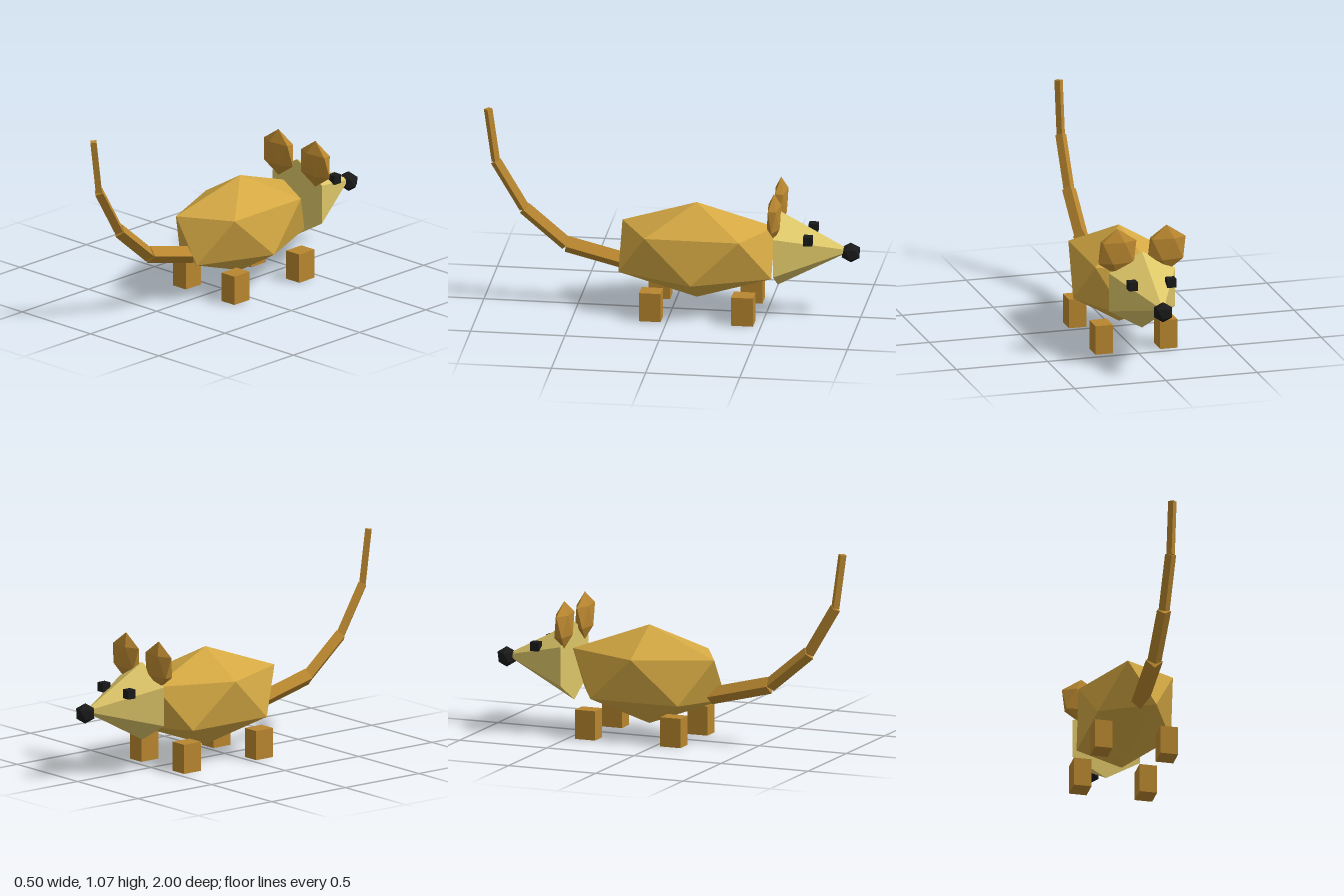
import * as THREE from 'three';
import { ConvexGeometry } from 'three/addons/geometries/ConvexGeometry.js';

// Twenty-sided ball standing on one corner, stretched to the given radii
function facetedBall(rx, ry, rz) {
  const points = [new THREE.Vector3(0, ry, 0), new THREE.Vector3(0, -ry, 0)];
  const h = 1 / Math.sqrt(5), r = 2 * h;
  for (let i = 0; i < 5; i++) {
    const a = (i * 2 * Math.PI) / 5;
    const x = Math.cos(a) * r * rx, z = Math.sin(a) * r * rz;
    points.push(new THREE.Vector3(-x, h * ry, z), new THREE.Vector3(x, -h * ry, z));
  }
  return new ConvexGeometry(points);
}

// Gives every face its own flat normal
function faceted(geometry) {
  const flat = geometry.toNonIndexed();
  flat.computeVertexNormals();
  return flat;
}

export function createModel() {
  const model = new THREE.Group();
  model.name = 'mouse';

  const material = (name, color) => {
    const m = new THREE.MeshStandardMaterial({ color });
    m.name = name;
    return m;
  };
  const fur = material('golden fur', 0xd4a843);
  const brown = material('brown limbs', 0xb8862f);
  const pale = material('pale face', 0xdcc568);
  const black = material('black', 0x1a1a1a);

  const add = (name, geometry, mat, x, y, z) => {
    const mesh = new THREE.Mesh(geometry, mat);
    mesh.name = name;
    mesh.position.set(x, y, z);
    model.add(mesh);
    return mesh;
  };

  // Body
  add('body', facetedBall(0.279, 0.265, 0.477), fur, 0, 0.335, -0.13);

  // Six-sided pointed head and ball nose
  const head = faceted(new THREE.ConeGeometry(0.21, 0.39, 6));
  head.rotateX(-Math.PI / 2);
  add('head', head, pale, 0, 0.37, -0.755);
  add('nose', facetedBall(0.055, 0.055, 0.055), black, 0, 0.36, -0.948);

  // Paired ears, eyes and legs
  const ear = facetedBall(0.117, 0.1275, 0.04);
  const eye = new THREE.BoxGeometry(0.048, 0.048, 0.048);
  const leg = new THREE.BoxGeometry(0.095, 0.157, 0.115);
  for (const [side, s] of [['left', 1], ['right', -1]]) {
    add(side + 'Ear', ear, brown, s * 0.135, 0.5875, -0.559);
    add(side + 'Eye', eye, black, s * 0.105, 0.453, -0.735);
    add(side + 'HeadEndLeg', leg, brown, s * 0.177, 0.0785, -0.402);
    add(side + 'TailEndLeg', leg, brown, s * 0.177, 0.0785, 0.088);
  }

  // Tail of four square rods, each thinner and steeper
  const joints = [[0.22, 0.245], [0.56, 0.33], [0.785, 0.52], [0.937, 0.775], [0.978, 1.065]]
    .map(([z, y]) => new THREE.Vector3(0, y, z));
  const radii = [0.046, 0.038, 0.03, 0.023];
  const up = new THREE.Vector3(0, 1, 0);
  radii.forEach((r, i) => {
    const dir = joints[i + 1].clone().sub(joints[i]);
    const mid = joints[i].clone().add(joints[i + 1]).multiplyScalar(0.5);
    const rod = faceted(new THREE.CylinderGeometry(r, r, dir.length(), 4));
    const mesh = add('tailSegment' + (i + 1), rod, brown, mid.x, mid.y, mid.z);
    mesh.quaternion.setFromUnitVectors(up, dir.normalize());
  });

  return model;
}
